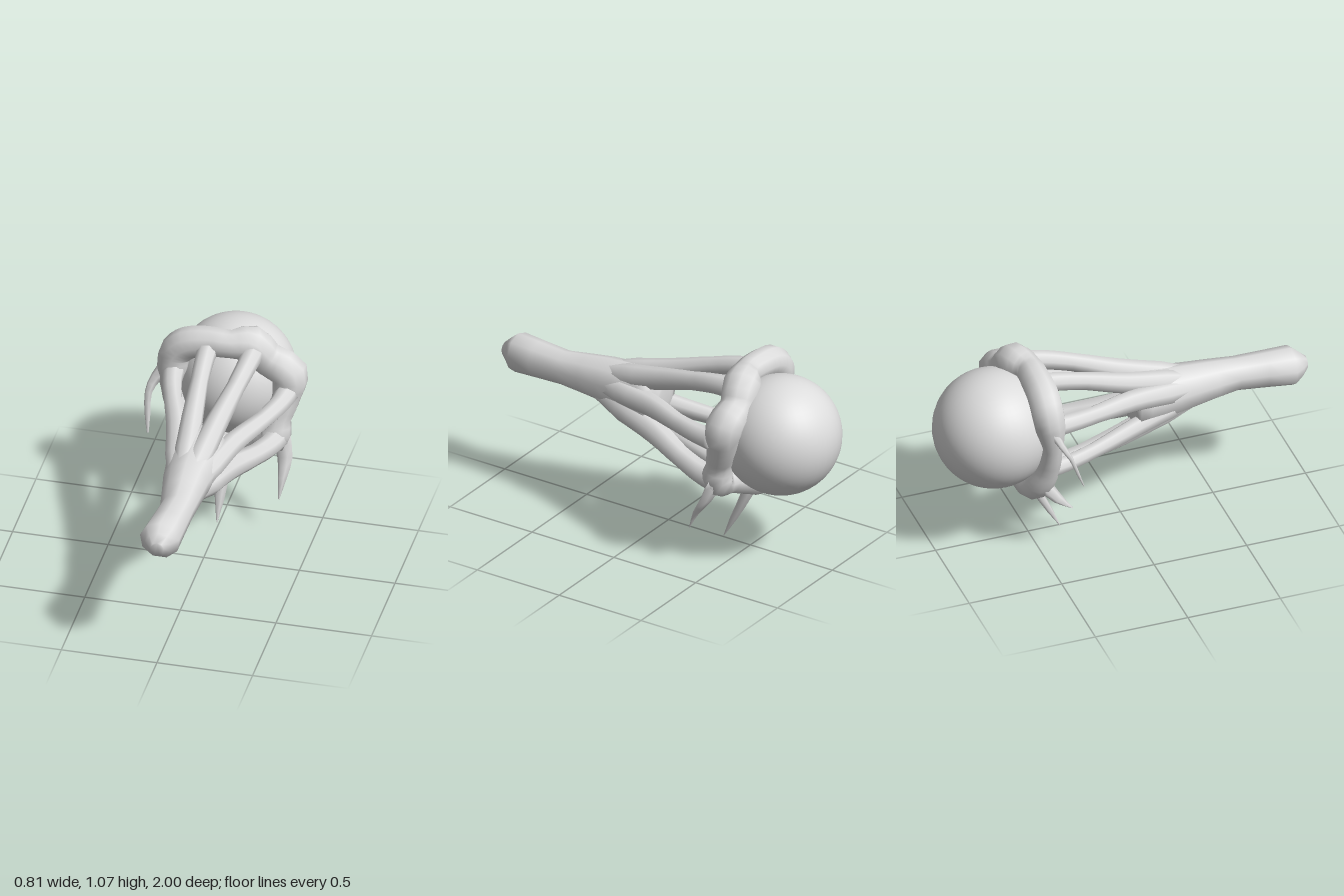
import * as THREE from 'three';

const V = (x, y, z) => new THREE.Vector3(x, y, z);

// Tube through stations [x, y, z, radius]; ref fixes the cross-section's first axis,
// flat scales the second one. Open tubes get end caps.
function limb(stations, { ref = V(0, 1, 0), sides = 8, closed = false, flat = 1, steps = 3 } = {}) {
  const n = stations.length;
  const curve = new THREE.CatmullRomCurve3(stations.map(s => V(s[0], s[1], s[2])), closed, 'centripetal');
  const spans = closed ? n : n - 1;
  const rows = spans * steps;
  const rings = closed ? rows : rows + 1;
  const pos = [], idx = [];
  for (let i = 0; i < rings; i++) {
    const t = i / rows, k = Math.floor(i / steps), f = i / steps - k;
    const r = THREE.MathUtils.lerp(stations[k % n][3], stations[(k + 1) % n][3], f);
    const c = curve.getPoint(t), T = curve.getTangent(t);
    const N = ref.clone().addScaledVector(T, -ref.dot(T)).normalize();
    const B = T.clone().cross(N);
    for (let j = 0; j < sides; j++) {
      const a = j / sides * Math.PI * 2;
      const p = c.clone().addScaledVector(N, r * Math.cos(a)).addScaledVector(B, r * flat * Math.sin(a));
      pos.push(p.x, p.y, p.z);
    }
  }
  for (let i = 0; i < rows; i++) for (let j = 0; j < sides; j++) {
    const i2 = (i + 1) % rings, j2 = (j + 1) % sides;
    const a = i * sides + j, b = i * sides + j2, c = i2 * sides + j2, d = i2 * sides + j;
    idx.push(a, b, c, a, c, d);
  }
  if (!closed) {
    const last = (rings - 1) * sides;
    for (let j = 1; j < sides - 1; j++) idx.push(0, j + 1, j, last, last + j, last + j + 1);
  }
  const g = new THREE.BufferGeometry();
  g.setAttribute('position', new THREE.Float32BufferAttribute(pos, 3));
  g.setIndex(idx);
  g.computeVertexNormals();
  return g;
}

export function createModel() {
  const model = new THREE.Group();
  const grey = new THREE.MeshStandardMaterial({ color: 0xdcdcdc });
  grey.name = 'paleGrey';
  const add = (name, geometry) => {
    const m = new THREE.Mesh(geometry, grey);
    m.name = name;
    model.add(m);
    return m;
  };

  // Orb at the back end
  add('orb', new THREE.SphereGeometry(0.312, 40, 28)).position.set(0, 0.69, -0.688);

  // Handle, blunt at the front and swelling where the roots begin
  add('handle', limb([
    [0, 0.695, 1, 0.035], [-0.005, 0.695, 0.92, 0.105], [0.015, 0.7, 0.63, 0.09],
    [0, 0.7, 0.38, 0.12], [0, 0.69, 0.2, 0.145], [0, 0.69, 0.06, 0.16], [0, 0.69, 0.03, 0.06],
  ], { sides: 9, steps: 2 }));

  // Knotted ring gripping the orb
  add('ring', limb([
    [-0.265, 0.905, -0.49, 0.085], [-0.2, 0.965, -0.49, 0.085], [-0.09, 0.99, -0.49, 0.08],
    [0.02, 0.99, -0.49, 0.075], [0.12, 0.98, -0.53, 0.1], [0.2, 0.89, -0.55, 0.09],
    [0.31, 0.825, -0.55, 0.1], [0.3, 0.7, -0.53, 0.08], [0.27, 0.58, -0.49, 0.068],
    [0.25, 0.475, -0.47, 0.088], [0.17, 0.45, -0.5, 0.068], [0.06, 0.405, -0.52, 0.07],
    [-0.04, 0.375, -0.52, 0.085], [-0.14, 0.39, -0.52, 0.08], [-0.195, 0.45, -0.5, 0.075],
    [-0.24, 0.54, -0.48, 0.06], [-0.287, 0.69, -0.47, 0.05], [-0.28, 0.82, -0.48, 0.08],
  ], { ref: V(0, 0, 1), sides: 10, closed: true }));

  // Roots from handle to ring: [middle x, y, end x, y, radius], measured from the axis
  const roots = [
    [-0.06, 0.15, -0.09, 0.28, 0.05], [0.07, 0.15, 0.14, 0.27, 0.052],
    [-0.14, 0.085, -0.27, 0.12, 0.052], [0.15, 0.03, 0.315, 0.045, 0.052],
    [0.13, -0.12, 0.27, -0.21, 0.06], [-0.03, -0.185, -0.025, -0.305, 0.055],
    [-0.13, -0.1, -0.235, -0.16, 0.044],
  ];
  for (const [mx, my, ex, ey, r] of roots) {
    const inner = (z, f, rad) => [mx * f, 0.69 + my * f, z, rad];
    const outer = (z, f, rad) => [mx + (ex - mx) * f, 0.69 + my + (ey - my) * f, z, rad];
    add('root', limb([
      inner(0.48, 0.18, 0.04), inner(0.22, 0.6, r * 1.25), inner(0, 1, r * 1.12),
      outer(-0.22, 0.58, r * 0.93), outer(-0.38, 0.9, r), outer(-0.5, 1, r * 1.15),
    ], { ref: V(0.3, 1, 0) }));
  }

  // Hanging thorns
  const thorns = {
    bottomThorn: [[-0.02, 0.4, -0.51, 0.06], [-0.012, 0.28, -0.47, 0.045], [-0.012, 0.12, -0.39, 0.028], [-0.012, 0.003, -0.33, 0.003]],
    leftThorn: [[0.28, 0.49, -0.48, 0.06], [0.317, 0.38, -0.44, 0.042], [0.317, 0.29, -0.38, 0.024], [0.31, 0.19, -0.335, 0.003]],
    rightLowThorn: [[-0.18, 0.43, -0.5, 0.075], [-0.213, 0.33, -0.42, 0.045], [-0.225, 0.255, -0.34, 0.004]],
    rightThorn: [[-0.3, 0.82, -0.48, 0.05], [-0.36, 0.755, -0.45, 0.03], [-0.39, 0.685, -0.41, 0.02], [-0.385, 0.58, -0.37, 0.016], [-0.375, 0.49, -0.335, 0.006]],
  };
  for (const [name, pts] of Object.entries(thorns)) {
    add(name, limb(pts, { ref: V(1, 0, 0.2), sides: 6, flat: 0.55, steps: 2 }));
  }

  return model;
}
